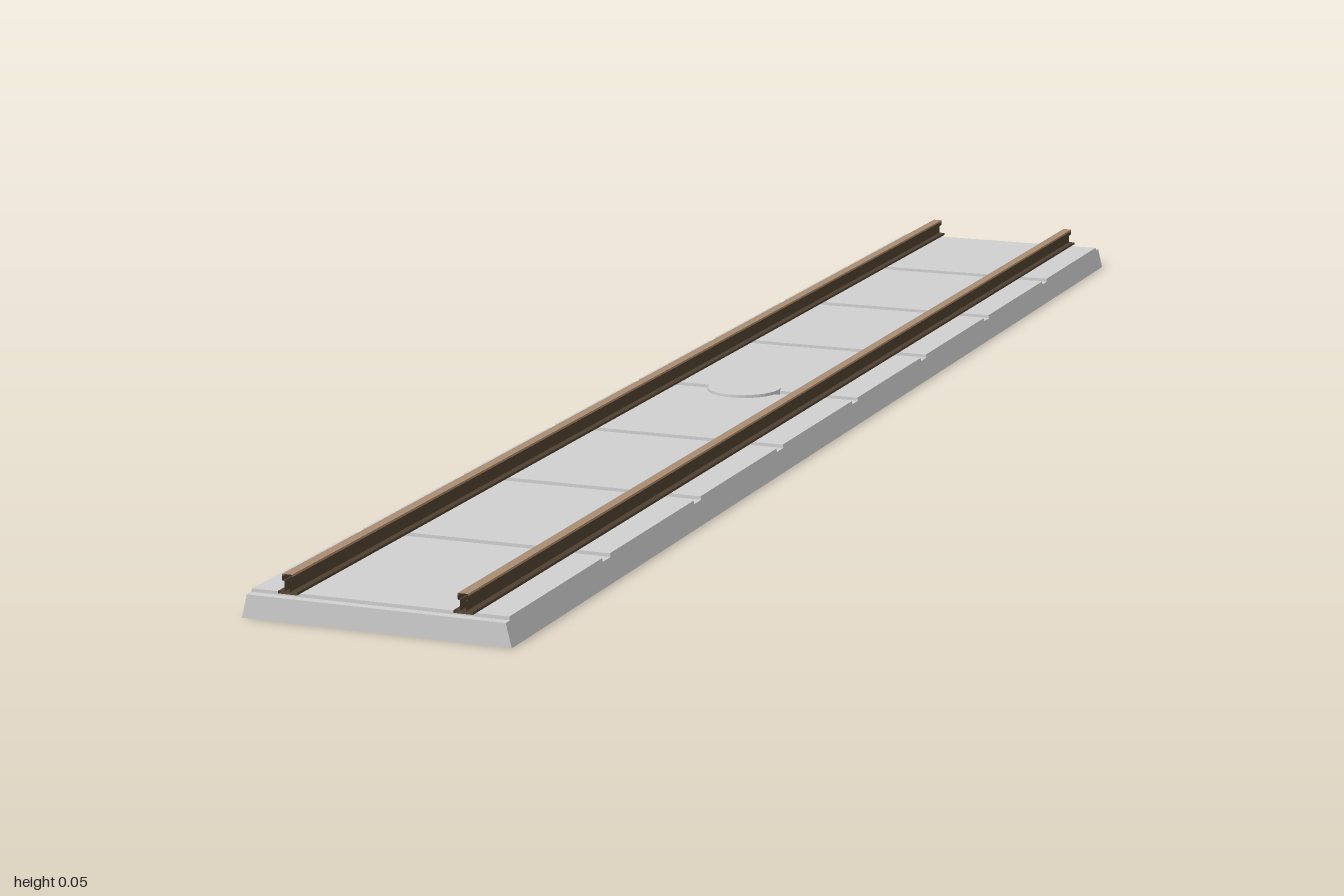
import * as THREE from 'three';

// Flat-shaded skin between equal-length cross-sections (arrays of [x, y, z])
function loft(sections) {
  const pos = [];
  for (let s = 0; s < sections.length - 1; s++) {
    const A = sections[s], B = sections[s + 1];
    for (let i = 0; i < A.length - 1; i++) {
      pos.push(...A[i], ...B[i], ...B[i + 1], ...A[i], ...B[i + 1], ...A[i + 1]);
    }
  }
  const g = new THREE.BufferGeometry();
  g.setAttribute('position', new THREE.Float32BufferAttribute(pos, 3));
  g.computeVertexNormals();
  return g;
}

export function createModel() {
  const model = new THREE.Group();
  model.name = 'trackSlab';
  const material = (name, color) => {
    const m = new THREE.MeshStandardMaterial({ color, side: THREE.DoubleSide });
    m.name = name;
    return m;
  };
  const concrete = material('concrete grey', 0xd0d0d0);
  const darkSteel = material('dark rail brown', 0x4f4030);
  const wornSteel = material('worn rail tan', 0xa98d71);

  const add = (name, geometry, mat) => {
    const mesh = new THREE.Mesh(geometry, mat);
    mesh.name = name;
    model.add(mesh);
  };

  // Slab: hollow tapered shell, its deck cut by square grooves every quarter
  const deckY = 0.0285, grooveY = 0.0248, grooveHalf = 0.01;
  const section = (z, y) => {
    const x = 0.147 - 0.007 * (y / deckY);
    return [[-0.147, 0, z], [-x, y, z], [x, y, z], [0.147, 0, z]];
  };
  const sections = [section(1, grooveY)];
  for (let i = 4; i >= -4; i--) {
    const front = i / 4 + grooveHalf, back = i / 4 - grooveHalf;
    if (i < 4) sections.push(section(front, deckY), section(front, grooveY));
    if (i > -4) sections.push(section(back, grooveY), section(back, deckY));
  }
  sections.push(section(-1, grooveY));
  add('slabShell', loft(sections), concrete);

  // End walls
  for (const s of [1, -1]) {
    const [a, b, c, d] = section(s, grooveY);
    const rows = s > 0 ? [[b, c], [a, d]] : [[c, b], [d, a]];
    add(s > 0 ? 'frontWall' : 'backWall', loft(rows), concrete);
  }

  // Central shear key: open-bottomed round cap through the deck
  const capProfile = [[0.0435, 0.016], [0.0435, 0.032], [0, 0.032]]
    .map(([x, y]) => new THREE.Vector2(x, y));
  const cap = new THREE.LatheGeometry(capProfile, 32).toNonIndexed();
  cap.computeVertexNormals();
  add('centreCap', cap, concrete);

  // Rails: open-ended I-profile skins, dark body below a worn running surface
  const footY = 0.0293, wornY = 0.0475, topY = 0.05, headX = 0.0055;
  const right = [
    [0, footY], [0.0105, footY], [0.0105, 0.032], [0.003, 0.032],
    [0.003, 0.043], [headX, 0.043], [headX, wornY],
  ];
  const left = right.map(([x, y]) => [-x, y]).reverse();
  const running = [[headX, wornY], [headX, topY], [-headX, topY], [-headX, wornY]];
  for (const [side, cx] of [['left', 0.0955], ['right', -0.0955]]) {
    const extrude = (profile) =>
      loft([-1, 1].map((z) => profile.map(([x, y]) => [cx + x, y, z])));
    add(side + 'RailBody', extrude([...left, ...right]), darkSteel);
    add(side + 'RailRunningSurface', extrude(running), wornSteel);
  }
  return model;
}
